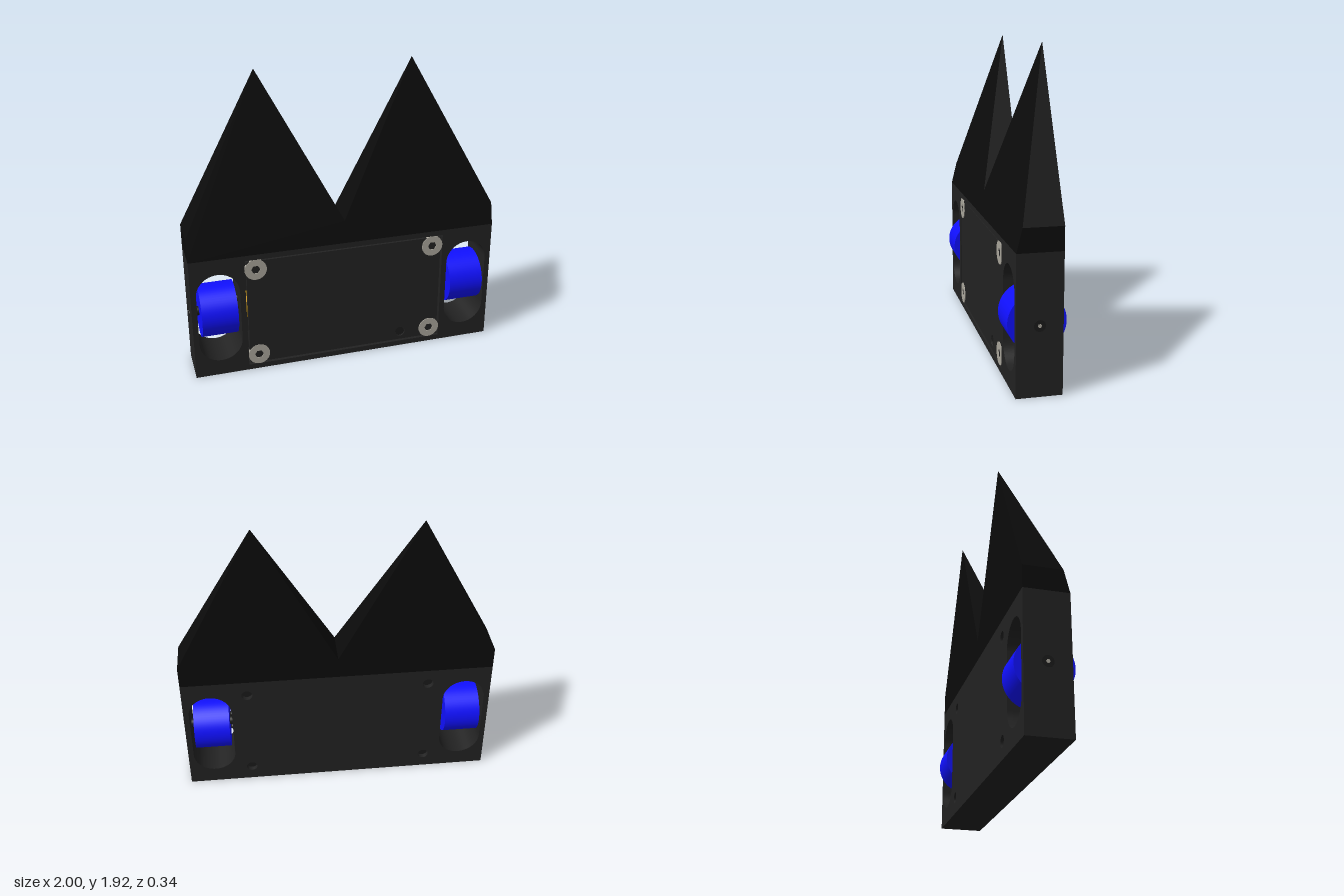
import * as THREE from 'three';

const D = 0.135;         // half depth of the body
const AXLE_Y = 0.415;
const WHEEL_X = 0.826;
const SCREWS = [[-0.585, 0.725], [0.585, 0.725], [-0.585, 0.105], [0.585, 0.105]];

const mat = (color) => new THREE.MeshStandardMaterial({ color });
const bodyMat = mat(0x222222), wedgeMat = mat(0x0b0b0b), blueMat = mat(0x1010ff);
const steelMat = mat(0xaaa69c), darkMat = mat(0x1a1a1a), motorMat = mat(0xd09a10);

function add(parent, name, geometry, material, x = 0, y = 0, z = 0) {
  const mesh = new THREE.Mesh(geometry, material);
  mesh.name = name;
  mesh.position.set(x, y, z);
  parent.add(mesh);
  return mesh;
}

const polygon = (pts) => new THREE.Shape(pts.map(([x, y]) => new THREE.Vector2(x, y)));
const rect = (w, y0, y1) => polygon([[-w, y0], [w, y0], [w, y1], [-w, y1]]);

function circle(x, y, r) {
  const p = new THREE.Path();
  p.absarc(x, y, r, 0, Math.PI * 2, true);
  return p;
}

// Upright rounded opening for a wheel
function slot(side) {
  const p = new THREE.Path(), x = side * 0.8275, r = 0.1375;
  p.absarc(x, 0.5875, r, 0, Math.PI, false);
  p.absarc(x, 0.2425, r, Math.PI, Math.PI * 2, false);
  p.closePath();
  return p;
}

// Extrudes a shape with holes from z0 to z1
function slab(shape, holes, z0, z1) {
  shape.holes.push(...holes);
  const g = new THREE.ExtrudeGeometry(shape, { depth: z1 - z0, bevelEnabled: false, curveSegments: 28 });
  return g.translate(0, 0, z0);
}

const rodX = (r, length, seg = 32) => new THREE.CylinderGeometry(r, r, length, seg).rotateZ(Math.PI / 2);
const rodZ = (r, length, seg = 32) => new THREE.CylinderGeometry(r, r, length, seg).rotateX(Math.PI / 2);

// Two-pointed wedge: the front face leans back until it meets the rear face at the tips
function wedgeGeometry() {
  const outline = polygon([[-1, 0.83], [1, 0.83], [1, 0.97], [0.5, 1.925], [0, 0.97], [-0.5, 1.925], [-1, 0.97]]);
  const g = slab(outline, [], -D, D);
  const p = g.attributes.position;
  for (let i = 0; i < p.count; i++) {
    if (p.getZ(i) > 0) p.setZ(i, D - 2 * D * (p.getY(i) - 0.83) / (1.925 - 0.83));
  }
  g.computeVertexNormals();
  return g;
}

export function createModel() {
  const model = new THREE.Group();
  model.name = 'wedgeRobot';

  // Chassis: floor with screw holes, and a rim around the pocket
  const chassis = new THREE.Group();
  chassis.name = 'chassis';
  model.add(chassis);
  const slots = () => [slot(-1), slot(1)];
  const screwHoles = SCREWS.map(([x, y]) => circle(x, y, 0.035));
  add(chassis, 'backPanel', slab(rect(1, 0, 0.83), [...slots(), ...screwHoles], -D, -0.105), bodyMat);
  add(chassis, 'rim', slab(rect(1, 0, 0.83), [...slots(), rect(0.655, 0.035, 0.795)], -0.105, D), bodyMat);
  add(model, 'wedge', wedgeGeometry(), wedgeMat);

  // Cover plate with a small switch hole
  const cover = slab(rect(0.644, 0.046, 0.784), [circle(0.38, 0.105, 0.035)], 0.1, 0.13);
  add(model, 'coverPlate', cover, bodyMat);
  add(model, 'switchButton', rodZ(0.031, 0.02), darkMat, 0.38, 0.105, 0.115);

  // Corner screws: ring-shaped head with a hex socket, on a post through the pocket
  for (const [x, y] of SCREWS) {
    const screw = new THREE.Group();
    screw.name = 'coverScrew';
    screw.position.set(x, y, 0);
    const head = new THREE.Shape().absarc(0, 0, 0.07, 0, Math.PI * 2);
    const hex = polygon([0, 1, 2, 3, 4, 5].map((i) => [0.029 * Math.cos(i * Math.PI / 3), 0.029 * Math.sin(i * Math.PI / 3)]));
    add(screw, 'screwHead', slab(head, [hex], 0.115, 0.1345), steelMat);
    add(screw, 'screwSocket', rodZ(0.04, 0.01), steelMat, 0, 0, 0.117);
    add(screw, 'screwPost', rodZ(0.05, 0.2), darkMat);
    model.add(screw);
  }

  // Drive units, mirrored left and right
  for (const s of [-1, 1]) {
    const drive = new THREE.Group();
    drive.name = s > 0 ? 'leftDrive' : 'rightDrive';
    drive.position.y = AXLE_Y;
    add(drive, 'wheel', rodX(0.17, 0.23, 64), blueMat, s * WHEEL_X);
    add(drive, 'axle', rodX(0.03, 0.35), darkMat, s * 0.825);
    add(drive, 'motor', rodX(0.085, 0.3), motorMat, s * 0.504);
    for (const dy of [-0.055, 0.055]) {
      add(drive, 'motorScrew', new THREE.SphereGeometry(0.02, 16, 12), darkMat, s * 0.69, dy);
    }
    // Axle end on the outer wall
    add(drive, 'axleEnd', rodX(0.034, 0.02), darkMat, s * 0.991);
    add(drive, 'axleEndSocket', rodX(0.012, 0.02, 6), steelMat, s * 0.992);
    model.add(drive);
  }
  return model;
}
